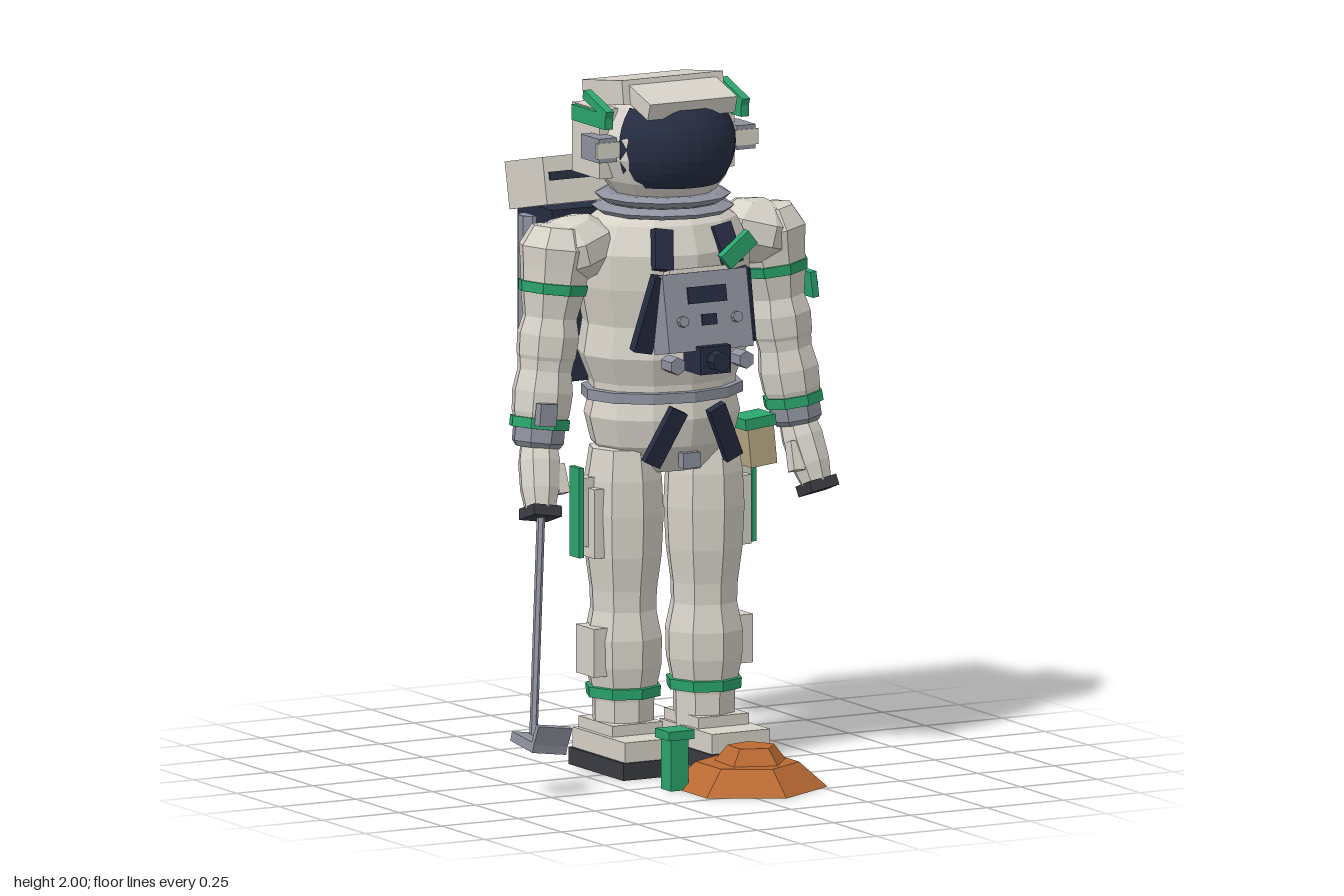
import * as THREE from 'three';

const mat = (name, color) => {
  const m = new THREE.MeshStandardMaterial({ color });
  m.name = name;
  return m;
};

export function createModel() {
  const white = mat('suit white', 0xd6d2c8), navy = mat('navy', 0x262d42), green = mat('signal green', 0x2ba46c);
  const grey = mat('metal grey', 0x8f929f), dark = mat('dark rubber', 0x393b41);
  const tan = mat('pouch tan', 0xb9aa84), rust = mat('rust rock', 0xba6a33);

  const root = new THREE.Group();
  const body = new THREE.Group();
  body.name = 'astronaut';
  body.position.x = 0.055;
  root.add(body);

  // Adds a faceted mesh
  const add = (parent, name, geo, m, p = [0, 0, 0], r = [0, 0, 0]) => {
    const g = geo.index ? geo.toNonIndexed() : geo;
    g.computeVertexNormals();
    const mesh = new THREE.Mesh(g, m);
    mesh.name = name;
    mesh.position.set(...p);
    mesh.rotation.set(...r);
    parent.add(mesh);
    return mesh;
  };
  const box = (parent, name, m, size, p, r) => add(parent, name, new THREE.BoxGeometry(...size), m, p, r);
  // Turned part from [radius, y] pairs listed bottom to top
  const lathe = (parent, name, m, pts, sides, p, depth = 1) => {
    const geo = new THREE.LatheGeometry(pts.map(q => new THREE.Vector2(...q)), sides);
    return add(parent, name, geo.scale(1, 1, depth), m, p);
  };
  const tube = (parent, name, m, rTop, rBottom, h, sides, p, r) =>
    add(parent, name, new THREE.CylinderGeometry(rTop, rBottom, h, sides), m, p, r);
  // Group at a whose -y axis points to b
  const span = (parent, name, a, b) => {
    const g = new THREE.Group(), va = new THREE.Vector3(...a), d = new THREE.Vector3(...b).sub(va);
    g.name = name;
    g.position.copy(va);
    g.userData.length = d.length();
    g.quaternion.setFromUnitVectors(new THREE.Vector3(0, -1, 0), d.normalize());
    parent.add(g);
    return g;
  };
  const bar = (parent, name, m, a, b, w, t) => {
    const g = span(parent, name, a, b), l = g.userData.length;
    return box(g, name, m, [w, l, t], [0, -l / 2, 0]);
  };
  const cross = (parent, size, p, ry) => {
    const g = new THREE.Group();
    g.name = 'medicalCross';
    g.position.set(...p);
    g.rotation.y = ry;
    parent.add(g);
    box(g, 'crossUpright', white, [size * 0.3, size, 0.006], [0, 0, 0]);
    box(g, 'crossBar', white, [size, size * 0.3, 0.006], [0, 0, 0.0005]);
  };

  // Torso, belt and neck rings
  lathe(body, 'torso', white, [[0, 0.85], [0.14, 0.86], [0.215, 0.94], [0.235, 1.02], [0.22, 1.08], [0.222, 1.12],
    [0.255, 1.2], [0.24, 1.29], [0.262, 1.4], [0.265, 1.5], [0.225, 1.58], [0.17, 1.62], [0, 1.62]], 12, [0, 0, -0.1], 0.79);
  lathe(body, 'belt', grey, [[0.2, 1.068], [0.243, 1.07], [0.243, 1.1], [0.2, 1.102]], 12, [0, 0, -0.1], 0.79);
  lathe(body, 'lowerNeckRing', grey, [[0.14, 1.6], [0.19, 1.602], [0.205, 1.615], [0.17, 1.63]], 12, [0, 0, -0.095]);
  lathe(body, 'upperNeckRing', grey, [[0.15, 1.625], [0.18, 1.635], [0.195, 1.65], [0.17, 1.662], [0.12, 1.662]], 12, [0, 0, -0.095]);

  // Helmet with visor, crown slab and brow
  lathe(body, 'helmetShell', white, [[0, 1.63], [0.13, 1.635], [0.178, 1.7], [0.205, 1.77], [0.205, 1.83],
    [0.16, 1.915], [0.09, 1.96], [0, 1.965]], 12, [0, 0, -0.092]);
  const visor = new THREE.SphereGeometry(1, 12, 8, Math.PI * 0.09, Math.PI * 0.82, Math.PI * 0.28, Math.PI * 0.44);
  visor.scale(-1, 1, 1); // turned to the front below
  visor.scale(-0.196, 0.178, 0.205);
  add(body, 'visor', visor, navy, [0, 1.803, -0.073]);
  box(body, 'helmetCrown', white, [0.33, 0.07, 0.235], [0, 1.945, -0.15], [-0.14, 0, 0]);
  box(body, 'helmetBrow', white, [0.285, 0.05, 0.13], [0, 1.938, 0.017], [0.3, 0, 0]);

  for (const s of [-1, 1]) {
    const side = s > 0 ? 'left' : 'right';

    // Helmet side pods and lamps
    box(body, side + 'HelmetPanel', white, [0.06, 0.2, 0.16], [s * 0.19, 1.81, -0.15]);
    box(body, side + 'EarPod', grey, [0.06, 0.07, 0.105], [s * 0.226, 1.803, -0.063]);
    box(body, side + 'EarPodCap', white, [0.008, 0.045, 0.075], [s * 0.226, 1.803, -0.012], [0, Math.PI / 2, 0]);
    box(body, side + 'HelmetLamp', green, [0.025, 0.045, 0.197], [s * 0.222, 1.885, -0.11]);
    box(body, side + 'LampFin', green, [0.025, 0.025, 0.14], [s * 0.222, 1.925, -0.075], [0.32, 0, 0]);

    // Arm: shoulder, upper arm, forearm, hand
    add(body, side + 'Shoulder', new THREE.SphereGeometry(1, 8, 5).scale(0.145, 0.1, 0.118), white, [s * 0.305, 1.51, -0.097], [0, 0, -s * 0.25]);
    const upper = span(body, side + 'UpperArm', [s * 0.345, 1.52, -0.097], [s * 0.388, 1.2, -0.085]);
    lathe(upper, 'upperSleeve', white, [[0, -0.36], [0.07, -0.355], [0.088, -0.31], [0.092, -0.25], [0.08, -0.2],
      [0.094, -0.13], [0.102, -0.06], [0.112, 0], [0.08, 0.06], [0, 0.075]], 8);
    lathe(upper, 'upperArmBand', green, [[0.08, -0.132], [0.1, -0.13], [0.104, -0.1], [0.09, -0.098]], 8);
    const fore = span(body, side + 'Forearm', [s * 0.388, 1.2, -0.085], [s * 0.423, 0.96, -0.07]);
    lathe(fore, 'foreSleeve', white, [[0, -0.2], [0.07, -0.2], [0.086, -0.15], [0.09, -0.09], [0.08, -0.03], [0.086, 0.02], [0.07, 0.06], [0, 0.06]], 8);
    lathe(fore, 'wristBand', green, [[0.06, -0.197], [0.089, -0.195], [0.089, -0.165], [0.06, -0.163]], 8);
    lathe(fore, 'cuff', grey, [[0, -0.25], [0.065, -0.25], [0.077, -0.235], [0.077, -0.195], [0, -0.19]], 8);
    const hand = span(body, side + 'Hand', [s * 0.422, 0.96, -0.065], [s * 0.455, 0.76, 0.005]);
    lathe(hand, 'glove', white, [[0, -0.19], [0.045, -0.19], [0.058, -0.13], [0.062, -0.05], [0.055, 0], [0, 0.01]], 8);
    box(hand, 'fingertips', dark, [0.09, 0.032, 0.09], [0, -0.197, 0]);
    box(hand, 'thumb', white, [0.035, 0.085, 0.04], [-s * 0.052, -0.1, 0.02], [0, 0, -s * 0.2]);

    // Leg and boot
    const leg = new THREE.Group();
    leg.name = side + 'Leg';
    leg.position.set(s * 0.132, 0, -0.09);
    body.add(leg);
    lathe(leg, 'trouser', white, [[0, 0.1], [0.09, 0.1], [0.092, 0.2], [0.113, 0.3], [0.115, 0.38], [0.098, 0.46], [0.1, 0.52],
      [0.114, 0.62], [0.12, 0.74], [0.115, 0.84], [0.1, 0.93], [0, 0.94]], 8);
    lathe(leg, 'ankleBand', green, [[0.09, 0.208], [0.11, 0.21], [0.112, 0.24], [0.09, 0.243]], 8);
    box(leg, 'shinPad', white, [0.06, 0.14, 0.105], [s * 0.098, 0.347, 0.005]);
    box(leg, 'thighPocket', white, [0.05, 0.2, 0.11], [s * 0.1, 0.72, 0]);
    box(leg, 'thighStripe', green, [0.016, 0.26, 0.055], [s * 0.15, 0.75, -0.002]);
    box(leg, 'thighStripeMount', white, [0.04, 0.2, 0.045], [s * 0.125, 0.75, -0.002]);
    box(leg, 'sole', dark, [0.205, 0.05, 0.32], [s * 0.012, 0.025, 0.045]);
    box(leg, 'boot', white, [0.19, 0.06, 0.305], [s * 0.01, 0.078, 0.046]);
    box(leg, 'bootInstep', white, [0.165, 0.05, 0.2], [s * 0.008, 0.115, 0]);

    // Harness straps
    bar(body, side + 'ShoulderStrap', navy, [s * 0.095, 1.575, 0.07], [s * 0.115, 1.465, 0.11], 0.06, 0.025);
    bar(body, side + 'ChestStrap', navy, [s * 0.125, 1.45, 0.125], [s * 0.17, 1.23, 0.08], 0.06, 0.03);
    bar(body, side + 'HipStrap', navy, [s * 0.06, 1.055, 0.105], [s * 0.135, 0.9, 0.075], 0.055, 0.025);

    // Backpack side rail and chest knob
    tube(body, side + 'PackRail', grey, 0.038, 0.038, 0.42, 8, [s * 0.228, 1.34, -0.455], [0, Math.PI / 8, 0]);
    tube(body, side + 'ChestKnob', grey, 0.026, 0.026, 0.06, 6, [s * 0.112, 1.2, 0.165], [Math.PI / 2, 0, 0]);
  }

  // Left arm patch and right forearm display
  box(body, 'armPatch', green, [0.02, 0.075, 0.07], [0.476, 1.347, -0.093], [0, 0, 0.13]);
  cross(body, 0.05, [0.488, 1.347, -0.093], Math.PI / 2);
  box(body, 'forearmDisplay', grey, [0.055, 0.065, 0.03], [-0.44, 1.06, 0.012], [0, 0, -0.1]);

  // Chest control unit
  const chest = new THREE.Group();
  chest.name = 'chestUnit';
  chest.position.set(0, 1.34, 0.125);
  chest.rotation.x = -0.19;
  body.add(chest);
  box(chest, 'chestBox', grey, [0.275, 0.225, 0.09], [0, 0, 0]);
  box(chest, 'chestBoxTop', white, [0.2, 0.02, 0.06], [0, 0.115, -0.01]);
  box(chest, 'screen', navy, [0.125, 0.048, 0.008], [0, 0.047, 0.047]);
  box(chest, 'smallScreen', navy, [0.048, 0.032, 0.008], [0, -0.025, 0.047]);
  for (const s of [-1, 1]) tube(chest, 'dial', grey, 0.016, 0.016, 0.02, 8, [s * 0.088, -0.025, 0.05], [Math.PI / 2, 0, 0]);
  box(body, 'hoseBlock', navy, [0.1, 0.08, 0.1], [0, 1.212, 0.165]);
  tube(body, 'hoseValve', navy, 0.029, 0.029, 0.06, 8, [0, 1.212, 0.222], [Math.PI / 2, 0, 0]);
  bar(body, 'penLight', green, [0.16, 1.545, 0.135], [0.075, 1.475, 0.13], 0.05, 0.025);
  box(body, 'beltBuckle', grey, [0.055, 0.045, 0.03], [0, 0.9, 0.06]);

  // Hip pouch
  box(body, 'hipPouch', tan, [0.085, 0.115, 0.09], [0.27, 0.908, -0.04], [0, 0, 0.1]);
  box(body, 'hipPouchFlap', green, [0.1, 0.032, 0.1], [0.262, 0.977, -0.04], [0, 0, 0.1]);

  // Backpack
  box(body, 'packBody', navy, [0.46, 0.5, 0.2], [0, 1.33, -0.43]);
  const lid = new THREE.Group();
  lid.name = 'packLid';
  lid.position.set(0, 1.645, -0.437);
  lid.rotation.x = -0.21;
  body.add(lid);
  box(lid, 'lidBox', white, [0.51, 0.137, 0.225], [0, 0, 0]);
  box(lid, 'lidStrip', navy, [0.48, 0.025, 0.008], [0, 0.012, 0.115]);
  box(body, 'packPanel', grey, [0.34, 0.42, 0.03], [0, 1.31, -0.543]);
  box(body, 'crossPlate', green, [0.165, 0.17, 0.018], [0, 1.335, -0.566]);
  cross(body, 0.105, [0, 1.335, -0.577], Math.PI);
  box(body, 'packPouch', tan, [0.12, 0.145, 0.065], [0.185, 1.112, -0.56]);
  box(body, 'packPouchFlap', green, [0.13, 0.038, 0.07], [0.185, 1.2, -0.56]);

  // Sampling scoop
  const shaft = span(root, 'scoopShaft', [-0.395, 0.79, 0], [-0.5, 0.16, 0.142]);
  const len = shaft.userData.length;
  tube(shaft, 'shaft', grey, 0.012, 0.012, len, 6, [0, -len / 2, 0]);
  const scoop = new THREE.Group();
  scoop.name = 'scoopHead';
  scoop.position.set(-0.503, 0.147, 0.18);
  scoop.rotation.set(0.12, 0, -0.14);
  root.add(scoop);
  box(scoop, 'scoopPlate', grey, [0.112, 0.028, 0.13], [0, 0, 0]);
  box(scoop, 'scoopLip', grey, [0.112, 0.075, 0.016], [0, 0.03, 0.06], [0.15, 0, 0]);

  // Marker stake
  box(root, 'stakePost', green, [0.058, 0.155, 0.058], [-0.13, 0.078, 0.305]);
  box(root, 'stakeCap', green, [0.083, 0.026, 0.083], [-0.13, 0.162, 0.305]);

  // Rock mound
  tube(root, 'moundBase', rust, 0.147, 0.228, 0.072, 6, [0.075, 0.036, 0.363]);
  tube(root, 'moundTop', rust, 0.07, 0.108, 0.047, 5, [0.087, 0.0945, 0.366], [0, 0.25, 0]);
  return root;
}
